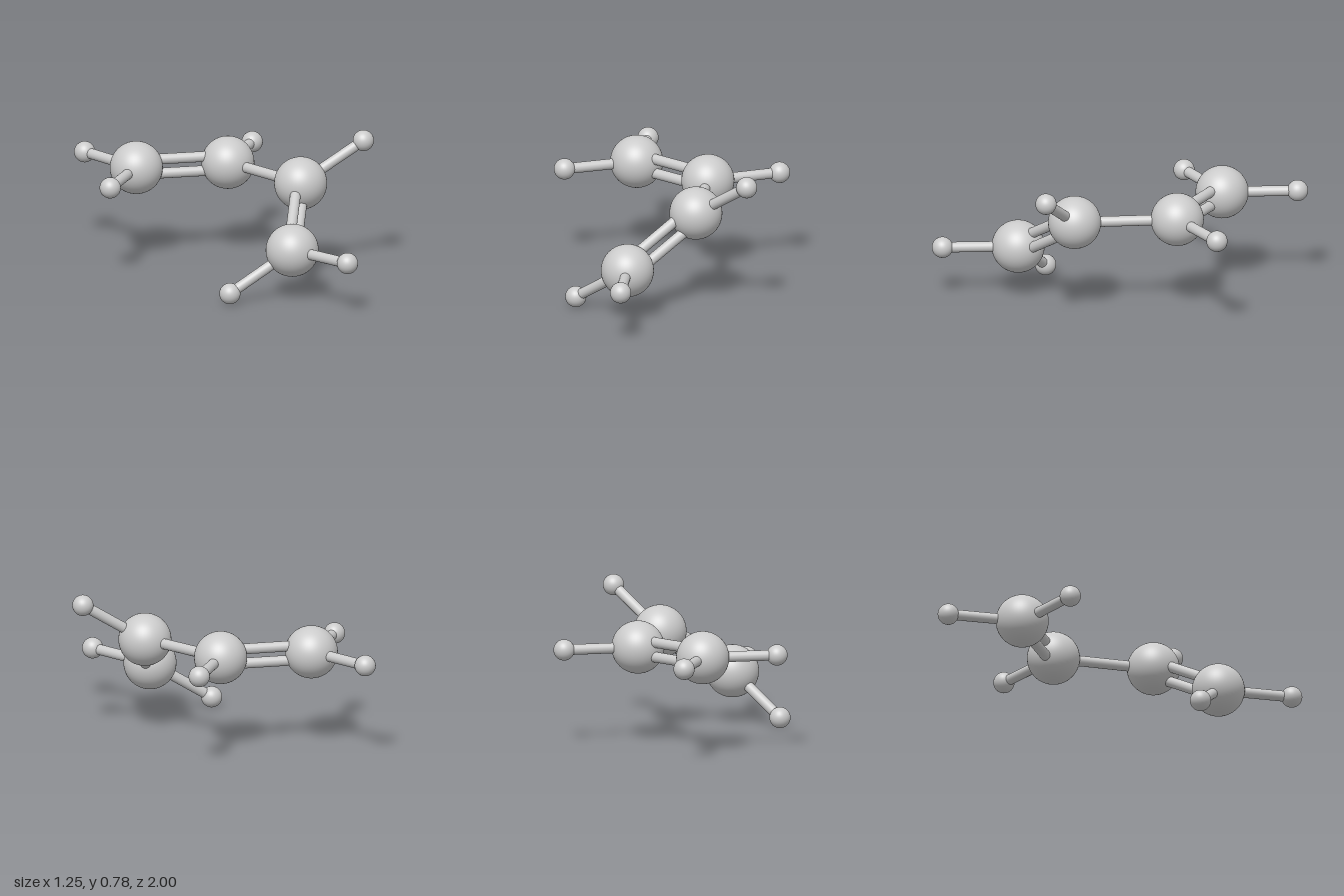
import * as THREE from 'three';

const material = new THREE.MeshStandardMaterial({ color: 0xcccccc });
const V = (x, y, z) => new THREE.Vector3(x, y, z);
const UP = V(0, 1, 0);

export function createModel() {
  const group = new THREE.Group();
  const largeGeo = new THREE.SphereGeometry(0.14, 48, 32);
  const smallGeo = new THREE.SphereGeometry(0.056, 32, 20);

  function addAtom(name, geometry, position) {
    const atom = new THREE.Mesh(geometry, material);
    atom.name = name;
    atom.position.copy(position);
    group.add(atom);
  }

  // Cylinder between two centres, optionally shifted sideways
  function addBond(name, a, b, shift = V(0, 0, 0)) {
    const dir = b.clone().sub(a);
    const bond = new THREE.Mesh(new THREE.CylinderGeometry(0.028, 0.028, dir.length(), 24), material);
    bond.name = name;
    bond.position.copy(a).add(b).multiplyScalar(0.5).add(shift);
    bond.quaternion.setFromUnitVectors(UP, dir.normalize());
    group.add(bond);
  }

  // Chain of four large atoms, back to front
  const carbons = [
    V(-0.205, 0.515, -0.545),
    V(0.205, 0.515, -0.272),
    V(0.205, 0.515, 0.272),
    V(-0.127, 0.272, 0.542),
  ];
  carbons.forEach((p, i) => addAtom(`carbonAtom${i + 1}`, largeGeo, p));

  // Small atoms, each with the index of the large atom it hangs on
  const hydrogens = [
    [0, V(-0.569, 0.515, -0.375)],
    [0, V(-0.192, 0.515, -0.944)],
    [1, V(0.565, 0.515, -0.451)],
    [2, V(0.496, 0.726, 0.449)],
    [3, V(-0.421, 0.059, 0.371)],
    [3, V(-0.116, 0.282, 0.944)],
  ];
  hydrogens.forEach(([host, p], i) => {
    addAtom(`hydrogenAtom${i + 1}`, smallGeo, p);
    addBond(`hydrogenBond${i + 1}`, carbons[host], p);
  });

  // Single bond in the middle, double bonds at both ends of the chain
  addBond('singleBond', carbons[1], carbons[2]);
  const doubles = [
    ['backDoubleBond', 0, 1, UP],
    ['frontDoubleBond', 2, 3, V(-0.243, 0.332, 0).normalize()],
  ];
  for (const [name, a, b, normal] of doubles) {
    for (const [side, s] of [['Upper', 1], ['Lower', -1]]) {
      addBond(name + side, carbons[a], carbons[b], normal.clone().multiplyScalar(0.039 * s));
    }
  }
  return group;
}
